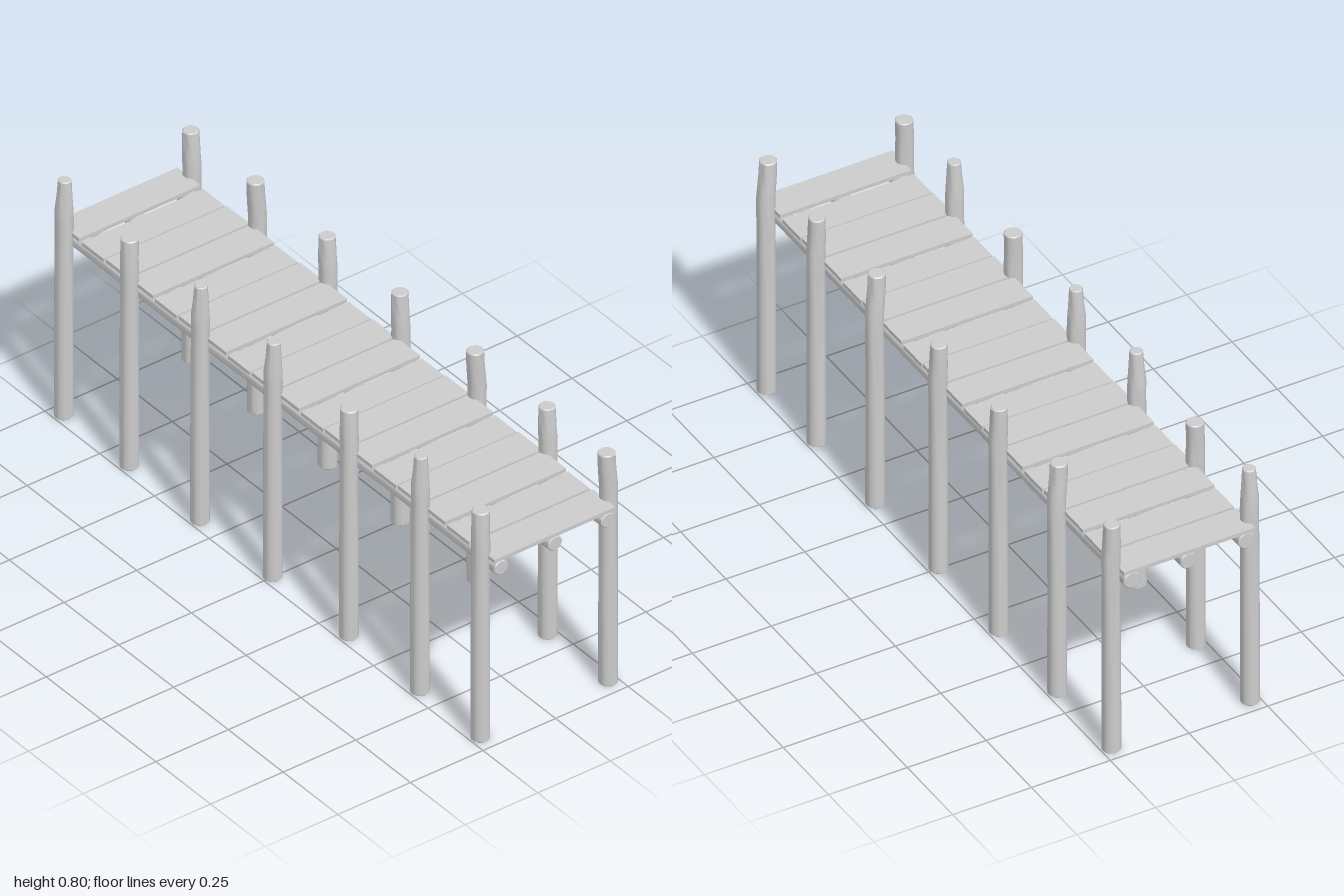
import * as THREE from 'three';
import { toCreasedNormals } from 'three/addons/utils/BufferGeometryUtils.js';

const material = new THREE.MeshStandardMaterial({ color: 0xcccccc });

// Round log along +y with softened ends; stations are [y, radius, xShift, zShift].
function logGeometry(stations) {
  const first = stations[0], last = stations[stations.length - 1];
  const bevel = 0.003;
  const rings = [
    [first[0], 0, first[2], first[3]],
    [first[0], first[1] - bevel, first[2], first[3]],
    [first[0] + bevel, first[1], first[2], first[3]],
    ...stations.slice(1, -1),
    [last[0] - bevel, last[1], last[2], last[3]],
    [last[0], last[1] - bevel, last[2], last[3]],
    [last[0], 0, last[2], last[3]],
  ];
  const geometry = new THREE.LatheGeometry(rings.map(([y, r]) => new THREE.Vector2(r, y)), 18);
  const position = geometry.attributes.position;
  // Lathe vertices run ring by ring within each segment
  for (let i = 0; i < position.count; i++) {
    const [, , dx, dz] = rings[i % rings.length];
    position.setX(i, position.getX(i) + dx);
    position.setZ(i, position.getZ(i) + dz);
  }
  return toCreasedNormals(geometry, 0.7);
}

export function createModel() {
  const model = new THREE.Group();
  model.name = 'footbridge';
  const add = (name, geometry, x = 0, y = 0, z = 0) => {
    const mesh = new THREE.Mesh(geometry, material);
    mesh.name = name;
    mesh.position.set(x, y, z);
    model.add(mesh);
    return mesh;
  };

  // Deck planks: the middle one of every three sits slightly lower
  const pitch = 2 / 18;
  for (let i = 0; i < 18; i++) {
    const low = i % 3 === 1;
    const plank = new THREE.BoxGeometry(0.417, 0.012, low ? 0.099 : 0.104);
    add('plank', plank, -0.002, low ? 0.617 : 0.622, i === 0 ? 0.948 : i === 17 ? -0.948 : 1 - pitch * (i + 0.5));
  }

  // Carrying logs: three slightly crooked pieces end to end under the deck
  for (const [side, x] of [[-1, -0.184], [0, 0], [1, 0.18]]) {
    for (let i = 0; i < 3; i++) {
      const beam = logGeometry([
        [0, 0.0265, 0, 0],
        [0.16, 0.026, -0.003 * side, 0.001],
        [0.34, 0.0265, -0.003 * side, 0.003],
        [0.52, 0.025, 0, 0.002],
        [0.667, 0.024, 0.002 * side, 0],
      ]);
      add('beam', beam, x, 0.592, -1 + i * 0.6665).rotation.x = Math.PI / 2;
    }
  }

  // Posts: an upright shaft whose head leans or tapers
  const post = (height, topRadius, dx, dz) => logGeometry([
    [0, 0.0275, 0, 0],
    [0.3, 0.027, 0, 0],
    [0.56, 0.0265, 0.001, 0],
    [0.66, 0.0265, 0.002, dz * 0.1],
    [0.7, 0.026, dx * 0.25, dz * 0.3],
    [0.74, (0.026 + topRadius) / 2, dx * 0.75, dz * 0.7],
    [height, topRadius, dx, dz],
  ]);
  const leaningLeft = post(0.785, 0.025, -0.008, 0.004);
  const straightLeft = post(0.775, 0.0235, 0.001, -0.004);
  const leaningRight = post(0.77, 0.0255, 0.005, -0.004);
  const taperedRight = post(0.8, 0.019, 0.002, 0.002);
  const rows = [0.948, 0.672, 0.348, 0, -0.332, -0.655, -0.954];
  rows.forEach((z, i) => {
    const leaning = i === 0 || i === 2 || i === 5;
    add('leftPost', leaning ? leaningLeft : straightLeft, 0.22, 0, z);
    add('rightPost', leaning ? leaningRight : taperedRight, -0.22, 0, z);
  });
  return model;
}
